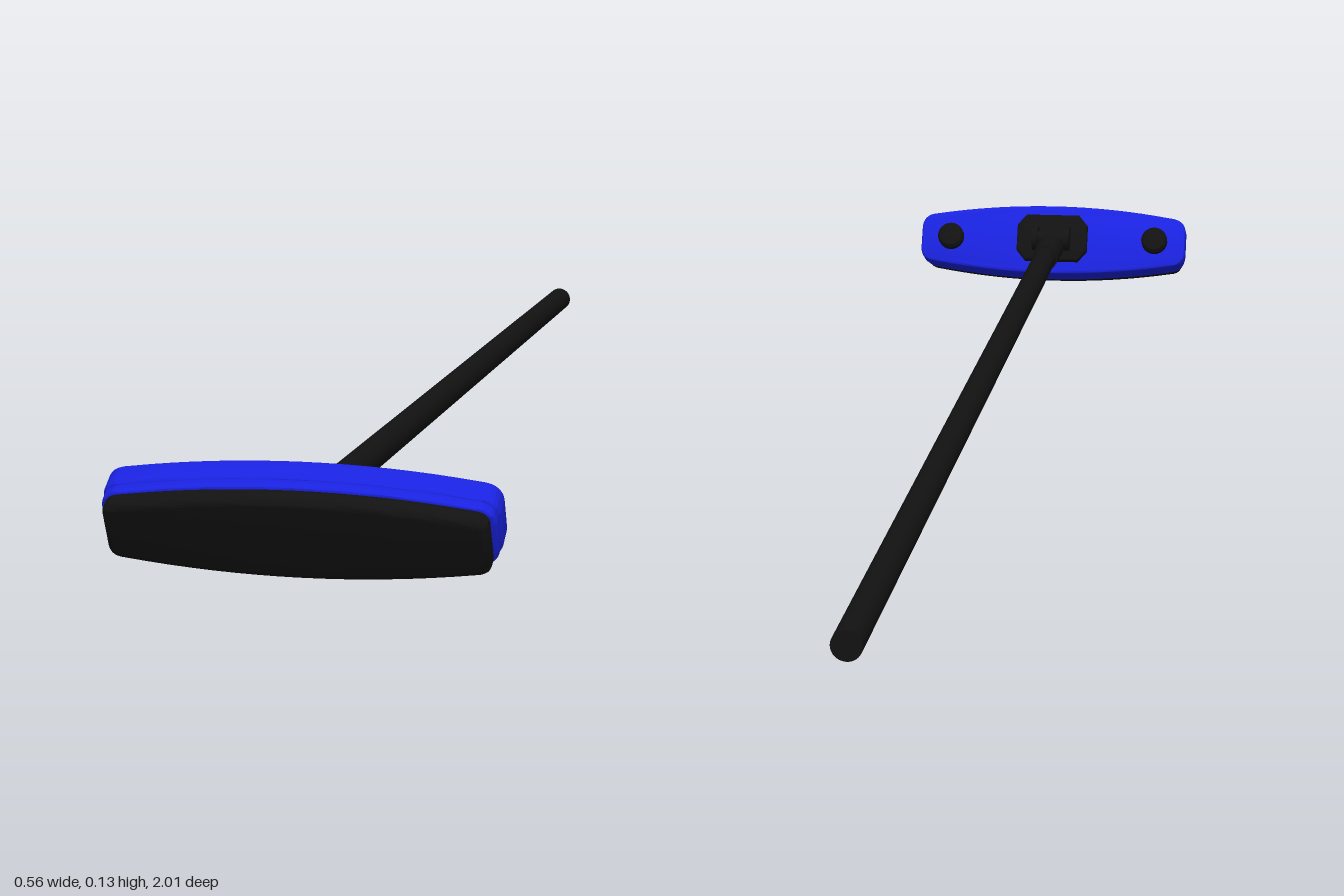
import * as THREE from 'three';
import { toCreasedNormals } from 'three/addons/utils/BufferGeometryUtils.js';

const blue = new THREE.MeshStandardMaterial({ color: 0x1a22e0 });
const black = new THREE.MeshStandardMaterial({ color: 0x121212 });

function addMesh(parent, name, geometry, material) {
  const mesh = new THREE.Mesh(geometry, material);
  mesh.name = name;
  parent.add(mesh);
  return mesh;
}

// Outline with bowed long sides and rounded, narrower ends
function bowedOutline(halfLength, halfMiddle, halfEnd, radius) {
  const L = halfLength, e = halfEnd, r = radius, c = 2 * halfMiddle - halfEnd;
  const s = new THREE.Shape();
  s.moveTo(-L + r, -e);
  s.quadraticCurveTo(0, -c, L - r, -e);
  s.quadraticCurveTo(L, -e + r * 0.1, L, -e + r);
  s.lineTo(L, e - r);
  s.quadraticCurveTo(L, e - r * 0.1, L - r, e);
  s.quadraticCurveTo(0, c, -L + r, e);
  s.quadraticCurveTo(-L, e - r * 0.1, -L, e - r);
  s.lineTo(-L, -e + r);
  s.quadraticCurveTo(-L, -e + r * 0.1, -L + r, -e);
  return s;
}

// Bevelled slab that fills z0..z1 and keeps the outline as its outer size
function slab(shape, z0, z1, bevel) {
  const g = new THREE.ExtrudeGeometry(shape, {
    depth: z1 - z0 - 2 * bevel, curveSegments: 16,
    bevelEnabled: true, bevelSize: bevel, bevelThickness: bevel,
    bevelOffset: -bevel, bevelSegments: 4,
  });
  g.translate(0, 0, z0 + bevel);
  return toCreasedNormals(g, 0.6);
}

// Rod running from one point to another
function rod(parent, name, from, to, rFrom, rTo) {
  const dir = to.clone().sub(from);
  const mesh = addMesh(parent, name, new THREE.CylinderGeometry(rTo, rFrom, dir.length(), 32), black);
  mesh.position.copy(from).add(to).multiplyScalar(0.5);
  mesh.quaternion.setFromUnitVectors(new THREE.Vector3(0, 1, 0), dir.normalize());
  return mesh;
}

export function createModel() {
  const model = new THREE.Group();
  model.name = 'scrubber';

  // Head, yawed with the pole and tilted so its face points down and forward
  const head = new THREE.Group();
  head.name = 'head';
  head.rotation.set(0.47, -0.163, 0, 'YXZ');
  head.position.set(-0.054, 0.069, 0.925);
  model.add(head);

  addMesh(head, 'backPlate', slab(bowedOutline(0.227, 0.06, 0.043, 0.026), -0.033, 0.002, 0.006), blue);
  addMesh(head, 'frontRim', slab(bowedOutline(0.225, 0.059, 0.042, 0.026), 0, 0.016, 0.004), blue);
  addMesh(head, 'scrubPad', slab(bowedOutline(0.219, 0.057, 0.04, 0.018), 0.012, 0.038, 0.009), black);

  // Knobs at both ends of the back
  for (const side of [-1, 1]) {
    const profile = [[0, 0], [0.022, 0], [0.022, 0.013], [0.018, 0.018], [0, 0.02]]
      .map(([x, y]) => new THREE.Vector2(x, y));
    const knob = addMesh(head, 'knob', toCreasedNormals(new THREE.LatheGeometry(profile, 24), 0.6), black);
    knob.rotation.x = -Math.PI / 2;
    knob.position.set(side * 0.175, 0, -0.031);
  }

  // Bracket with two cheeks and a pivot pin
  const plate = new THREE.Shape([[-0.045, -0.04], [0.045, -0.04], [0.06, -0.022], [0.06, 0.022],
    [0.045, 0.04], [-0.045, 0.04], [-0.06, 0.022], [-0.06, -0.022]].map(([x, y]) => new THREE.Vector2(x, y)));
  addMesh(head, 'bracket', slab(plate, -0.047, -0.03, 0.004), black);
  for (const side of [-1, 1]) {
    const cheek = addMesh(head, 'bracketCheek', new THREE.CylinderGeometry(0.02, 0.02, 0.01, 24), black);
    cheek.rotation.z = Math.PI / 2;
    cheek.position.set(side * 0.027, -0.004, -0.052);
  }
  const pin = addMesh(head, 'pivotPin', new THREE.CylinderGeometry(0.012, 0.012, 0.064, 20), black);
  pin.rotation.z = Math.PI / 2;
  pin.position.set(0, -0.004, -0.055);

  // Pole with a thicker socket where it meets the bracket
  const start = new THREE.Vector3(-0.047, 0.076, 0.885);
  const end = new THREE.Vector3(0.262, 0.022, -0.997);
  rod(model, 'pole', start, end, 0.0185, 0.0185);
  rod(model, 'poleSocket', start, start.clone().lerp(end, 0.05), 0.023, 0.021);

  return model;
}
